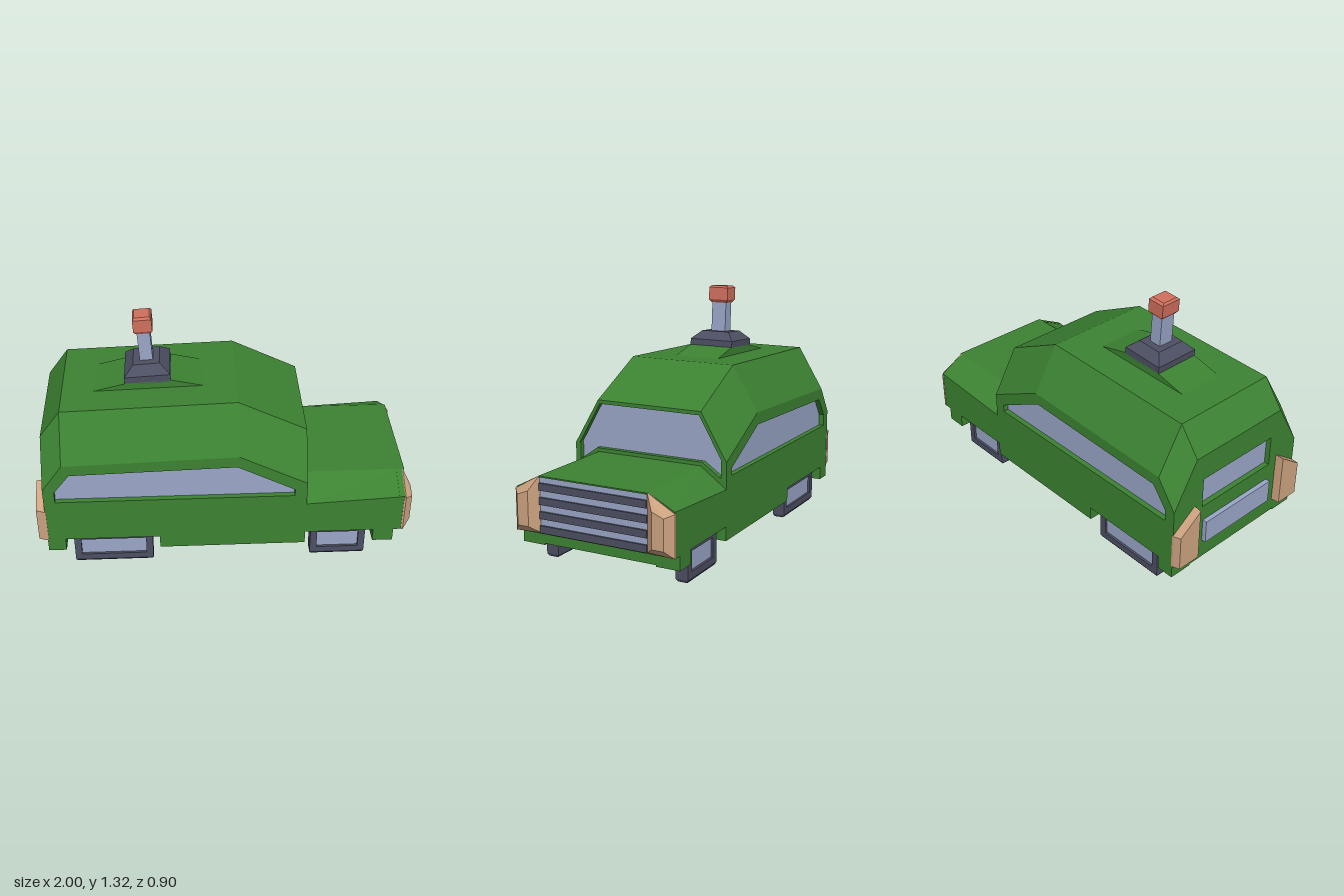
import * as THREE from 'three';
import { ConvexGeometry } from 'three/addons/geometries/ConvexGeometry.js';

const paint = (color) => new THREE.MeshStandardMaterial({ color, flatShading: true, side: THREE.DoubleSide });
const GREEN = paint(0x3c8232), GLASS = paint(0x9aa6c8), DARK = paint(0x4c4f62);
const TAN = paint(0xcca280), RED = paint(0xcf6f5c);

const toShape = (pts) => new THREE.Shape(pts.map(([x, y]) => new THREE.Vector2(x, y)));

// Outline (with optional hole) pushed out by a depth along its local z
function slab(pts, depth, hole) {
  const shape = toShape(pts);
  if (hole) shape.holes.push(toShape(hole));
  return new THREE.ExtrudeGeometry(shape, { depth, bevelEnabled: false });
}

// Mirror a half outline given from the top centre downwards on one side
const mirrored = (half) => [...half, ...half.map(([z, y]) => [-z, y]).reverse()];

// Cross slab: outline in (z, y), running along x from x0
const crossSlab = (pts, x0, depth, hole) => slab(pts, depth, hole).rotateY(Math.PI / 2).translate(x0, 0, 0);

const box = (x0, x1, y0, y1, z0, z1) => new THREE.BoxGeometry(x1 - x0, y1 - y0, z1 - z0)
  .translate((x0 + x1) / 2, (y0 + y1) / 2, (z0 + z1) / 2);

// Convex block from rectangles [y, halfX, halfZ] stacked upwards
const stack = (levels) => new ConvexGeometry(levels.flatMap(([y, hx, hz]) =>
  [[1, 1], [1, -1], [-1, 1], [-1, -1]].map(([a, b]) => new THREE.Vector3(a * hx, y, b * hz))));

// Roof-like skin: stations [x, shoulderY, topY] with sloped shoulders
function shell(stations) {
  const rings = stations.map(([x, sy, ty]) => [[x, sy, 0.45], [x, ty, 0.305], [x, ty, -0.305], [x, sy, -0.45]]);
  const pos = [];
  for (let i = 0; i < rings.length - 1; i++) {
    for (let j = 0; j < 3; j++) {
      const [a, b, c, d] = [rings[i][j], rings[i + 1][j], rings[i + 1][j + 1], rings[i][j + 1]];
      pos.push(...a, ...b, ...c, ...a, ...c, ...d);
    }
  }
  const g = new THREE.BufferGeometry();
  g.setAttribute('position', new THREE.Float32BufferAttribute(pos, 3));
  g.computeVertexNormals();
  return g;
}

export function createModel() {
  const car = new THREE.Group();
  car.name = 'car';
  const add = (name, geometry, material, parent = car) => {
    const mesh = new THREE.Mesh(geometry, material);
    mesh.name = name;
    parent.add(mesh);
    return mesh;
  };

  // Lower edge of the sides, with notches for the wheels
  const sill = [[-0.955, 0.12], [-0.86, 0.12], [-0.86, 0.195], [-0.355, 0.195], [-0.355, 0.12], [0.43, 0.12],
    [0.43, 0.195], [0.8, 0.195], [0.8, 0.12], [0.91, 0.12], [0.91, 0.195], [0.955, 0.195]];
  const sideOutline = [...sill, [0.955, 0.42], [0.43, 0.39], [0.43, 0.53], [0.07, 0.715], [-0.845, 0.685], [-0.955, 0.53]];
  const sideWindow = [[-0.895, 0.45], [0.365, 0.45], [0.365, 0.49], [0.06, 0.65], [-0.81, 0.625], [-0.895, 0.515]];
  for (const s of [1, -1]) {
    add('sidePanel', slab(sideOutline, 0.03, sideWindow).translate(0, 0, s > 0 ? 0.42 : -0.45), GREEN);
    add('sideSill', slab([...sill, [0.955, 0.38], [-0.955, 0.38]], 0.1).translate(0, 0, s > 0 ? 0.32 : -0.42), GREEN);
    add('sideWindow', slab(sideWindow, 0.01).translate(0, 0, s > 0 ? 0.411 : -0.421), GLASS);
  }

  // Floor block between the wheels
  add('floor', slab([[-0.955, 0.128], [0.91, 0.128], [0.91, 0.195], [0.955, 0.195], [0.955, 0.38], [-0.955, 0.38]], 0.64)
    .translate(0, 0, -0.32), GREEN);

  // Roof and hood skins
  add('roof', shell([[-0.955, 0.53, 0.775], [-0.845, 0.685, 0.925], [0.07, 0.715, 0.955], [0.43, 0.53, 0.775]]), GREEN);
  add('hood', shell([[0.43, 0.39, 0.495], [0.955, 0.42, 0.495]]), GREEN);
  add('hoodLip', box(0.94, 0.968, 0.488, 0.495, -0.305, 0.305), GREEN);
  add('nose', crossSlab(mirrored([[0.305, 0.495], [0.45, 0.42], [0.45, 0.195]]), 0.925, 0.03), GREEN);

  // Windshield and rear window, set back in their frames
  const windshield = mirrored([[0.295, 0.755], [0.425, 0.53], [0.425, 0.44], [0.315, 0.515]]);
  add('windshieldFrame', crossSlab(mirrored([[0.305, 0.775], [0.45, 0.53], [0.45, 0.38]]), 0.4, 0.03, windshield), GREEN);
  add('windshield', crossSlab(windshield, 0.392, 0.01), GLASS);
  const rearWindow = mirrored([[0.25, 0.63], [0.25, 0.46]]);
  add('rearWall', crossSlab(mirrored([[0.305, 0.775], [0.45, 0.53], [0.45, 0.13]]), -0.955, 0.03, rearWindow), GREEN);
  add('rearWindow', crossSlab(rearWindow, -0.927, 0.01), GLASS);
  add('rearPlate', box(-0.98, -0.95, 0.24, 0.37, -0.24, 0.24), GLASS);

  // Grille: pale backing with dark bars
  add('grilleBacking', box(0.95, 0.959, 0.2, 0.49, -0.305, 0.305), GLASS);
  for (let i = 0; i < 4; i++) {
    const y = 0.203 + i * 0.0725;
    add('grilleBar', box(0.95, 0.969, y, y + 0.038, -0.305, 0.305), DARK);
  }

  // Corner lights: tapered blocks from a base outline to a smaller face
  const light = (name, x0, x1, base, face, s) => add(name, new ConvexGeometry([
    ...base.map(([z, y]) => new THREE.Vector3(x0, y, s * z)),
    ...base.map(([z, y]) => new THREE.Vector3(x0 + (x1 - x0) * 0.2, y, s * z)),
    ...face.map(([z, y]) => new THREE.Vector3(x1, y, s * z))]), TAN);
  for (const s of [1, -1]) {
    light('headlight', 0.95, 1, [[0.305, 0.495], [0.452, 0.412], [0.452, 0.195], [0.305, 0.203]],
      [[0.35, 0.42], [0.414, 0.395], [0.414, 0.237], [0.35, 0.237]], s);
    light('tailLight', -0.95, -1, [[0.305, 0.495], [0.452, 0.39], [0.452, 0.195], [0.305, 0.2]],
      [[0.31, 0.49], [0.443, 0.395], [0.443, 0.2], [0.31, 0.2]], s);
  }

  // Blocky wheels: dark frame around a pale panel seen from both sides
  for (const [x, hx] of [[-0.6075, 0.2125], [0.615, 0.15]]) {
    for (const s of [1, -1]) {
      const wheel = new THREE.Group();
      wheel.name = 'wheel';
      wheel.position.set(x, 0, s * 0.38);
      add('wheelBottom', stack([[0, hx - 0.008, 0.025], [0.015, hx, 0.035], [0.052, hx, 0.035]]), DARK, wheel);
      add('wheelTop', box(-hx, hx, 0.157, 0.197, -0.035, 0.035), DARK, wheel);
      for (const e of [1, -1]) {
        add('wheelEnd', box(-0.0185, 0.0185, 0.052, 0.157, -0.035, 0.035), DARK, wheel).position.x = e * (hx - 0.0185);
      }
      add('wheelPanel', box(-hx + 0.03, hx - 0.03, 0.045, 0.165, -0.022, 0.022), GLASS, wheel);
      car.add(wheel);
    }
  }

  // Raised roof hatch and the tilted post with its red cap
  add('hatch', slab([[-0.68, 0.93], [-0.1, 0.949], [-0.27, 0.988], [-0.51, 0.972]], 0.26).translate(0, 0, -0.13), GREEN);
  const post = new THREE.Group();
  post.name = 'roofPost';
  post.position.set(-0.392, 0.977, 0);
  post.rotation.z = 0.06;
  add('postBase', stack([[-0.005, 0.12, 0.13], [0.038, 0.12, 0.13], [0.084, 0.07, 0.083]]), DARK, post);
  add('post', box(-0.034, 0.034, 0.08, 0.25, -0.043, 0.043), GLASS, post);
  add('postCap', stack([[0.245, 0.036, 0.046], [0.262, 0.049, 0.058], [0.33, 0.049, 0.058], [0.341, 0.04, 0.046]]), RED, post);
  car.add(post);

  return car;
}
